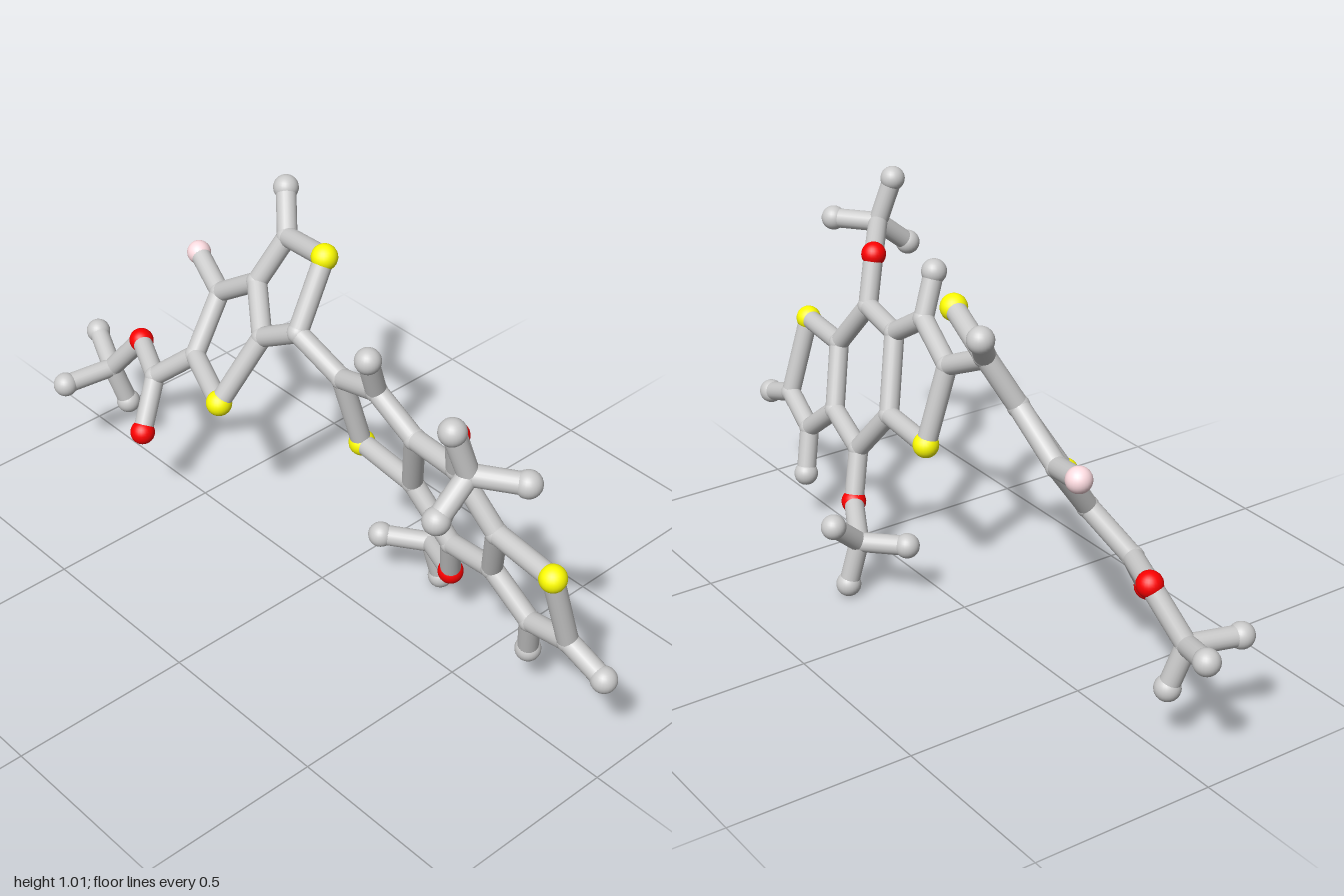
import * as THREE from 'three';

// Atom positions, grouped by element: name -> [x, y, z]
const CARBON = {
  c1: [-0.305, 0.888, -0.153], c2: [-0.09, 0.765, 0.002], c3: [-0.227, 0.684, 0.005],
  c4: [-0.35, 0.757, -0.085], c5: [-0.48, 0.51, 0.03], c6: [-0.5, 0.655, -0.08],
  c7: [-0.595, 0.405, 0.083], c8: [-0.84, 0.292, 0.052],
  c9: [0.06, 0.695, -0.012], c10: [0.222, 0.76, 0.023], c11: [0.35, 0.68, 0.014],
  c12: [0.286, 0.477, -0.048], c13: [0.516, 0.695, 0.036], c14: [0.63, 0.553, 0.009],
  c15: [0.575, 0.38, -0.044], c16: [0.404, 0.337, -0.074], c17: [0.698, 0.28, -0.057],
  c18: [0.845, 0.33, -0.03], c19: [0.69, 0.856, 0.182], c20: [0.222, 0.163, -0.19],
};
const HYDROGEN = {
  h1: [-0.387, 0.973, -0.222], h8a: [-0.97, 0.33, 0], h8b: [-0.815, 0.172, 0.021],
  h8c: [-0.87, 0.284, 0.196], h10: [0.238, 0.878, 0.068], h17: [0.673, 0.153, -0.088],
  h18: [0.965, 0.288, -0.029], h19a: [0.67, 0.982, 0.22], h19b: [0.8, 0.852, 0.104],
  h19c: [0.69, 0.776, 0.28], h20a: [0.234, 0.038, -0.219], h20b: [0.117, 0.172, -0.105],
  h20c: [0.202, 0.244, -0.28],
};
const SULFUR = {
  s1: [-0.11, 0.935, -0.107], s2: [-0.28, 0.497, 0.113],
  s3: [0.078, 0.477, -0.068], s4: [0.832, 0.553, 0.03],
};
const OXYGEN = {
  o1: [0.543, 0.829, 0.074], o2: [0.37, 0.2, -0.114],
  o3: [-0.553, 0.277, 0.168], o4: [-0.74, 0.42, 0.016],
};
const FLUORINE = { f1: [-0.644, 0.695, -0.127] };

// Each chain lists atoms joined one after another
const CHAINS = [
  'c1 s1 c2 c3 c4 c1 h1', 'c3 s2 c5 c6 c4', 'c6 f1', 'c5 c7 o3', 'c7 o4 c8 h8a',
  'h8b c8 h8c', 'c2 c9 c10 c11 c12 s3 c9', 'c10 h10', 'c11 c13 c14 c15 c16 c12',
  'c14 s4 c18 c17 c15', 'c18 h18', 'c17 h17', 'c13 o1 c19 h19a', 'h19b c19 h19c',
  'c16 o2 c20 h20a', 'h20b c20 h20c',
];

const BOND_RADIUS = 0.027;

export function createModel() {
  const model = new THREE.Group();
  const grey = new THREE.MeshStandardMaterial({ color: 0xcccccc });
  const atoms = {};

  // Balls: one group per element
  function addAtoms(name, table, radius, material) {
    const group = new THREE.Group();
    group.name = name;
    const ball = new THREE.SphereGeometry(radius, 24, 16);
    for (const [key, p] of Object.entries(table)) {
      atoms[key] = new THREE.Vector3(...p);
      const mesh = new THREE.Mesh(ball, material);
      mesh.name = name.replace('Atoms', 'Atom');
      mesh.position.copy(atoms[key]);
      group.add(mesh);
    }
    model.add(group);
  }
  const coloured = (color) => new THREE.MeshStandardMaterial({ color });
  addAtoms('carbonAtoms', CARBON, 0.029, grey);
  addAtoms('hydrogenAtoms', HYDROGEN, 0.034, grey);
  addAtoms('sulfurAtoms', SULFUR, 0.035, coloured(0xffff00));
  addAtoms('oxygenAtoms', OXYGEN, 0.034, coloured(0xff0000));
  addAtoms('fluorineAtoms', FLUORINE, 0.033, coloured(0xffdde2));

  // Sticks: a cylinder between each pair of neighbours
  const bonds = new THREE.Group();
  bonds.name = 'bonds';
  const stick = new THREE.CylinderGeometry(BOND_RADIUS, BOND_RADIUS, 1, 20, 1, true);
  const up = new THREE.Vector3(0, 1, 0);
  for (const chain of CHAINS) {
    const keys = chain.split(' ');
    for (let i = 1; i < keys.length; i++) {
      const a = atoms[keys[i - 1]], b = atoms[keys[i]];
      const along = b.clone().sub(a);
      const mesh = new THREE.Mesh(stick, grey);
      mesh.name = 'bond';
      mesh.scale.y = along.length();
      mesh.position.copy(a).add(b).multiplyScalar(0.5);
      mesh.quaternion.setFromUnitVectors(up, along.normalize());
      bonds.add(mesh);
    }
  }
  model.add(bonds);
  return model;
}
